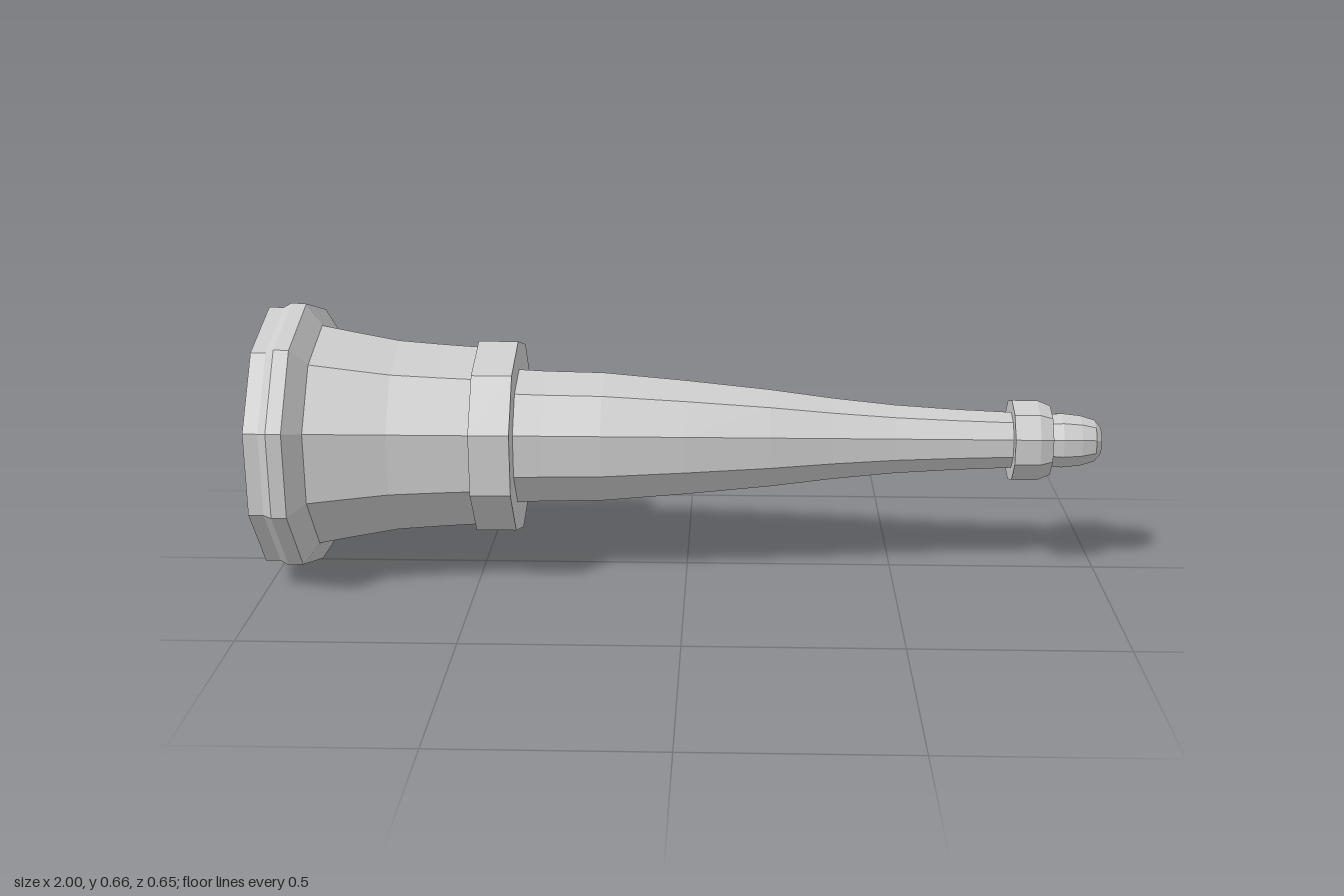
import * as THREE from 'three';

const SIDES = 10;
const material = new THREE.MeshStandardMaterial({ color: 0xcccccc, flatShading: true });

// Ten-sided turned part along x; profile is [x, radius] from the base to the tip.
function turned(name, profile) {
  const points = profile.map(([x, r]) => new THREE.Vector2(r, x));
  const geometry = new THREE.LatheGeometry(points, SIDES, Math.PI / 2);
  geometry.rotateZ(-Math.PI / 2);
  geometry.scale(1, 1, 1.035);
  const mesh = new THREE.Mesh(geometry, material);
  mesh.name = name;
  return mesh;
}

export function createModel() {
  const group = new THREE.Group();
  group.name = 'nozzle';
  const axis = new THREE.Group();
  axis.name = 'nozzleBody';
  axis.position.y = 0.33;
  group.add(axis);

  axis.add(
    // wide coupling rim with a raised band and chamfered front edge
    turned('baseRim', [[-1, 0], [-1, 0.317], [-0.965, 0.317], [-0.945, 0.328],
      [-0.91, 0.326], [-0.875, 0.274], [-0.875, 0.2]]),
    // flared section narrowing towards the collar
    turned('flare', [[-0.88, 0.274], [-0.8, 0.258], [-0.69, 0.237], [-0.58, 0.228], [-0.49, 0.222]]),
    // plain collar
    turned('collar', [[-0.5, 0], [-0.5, 0.237], [-0.405, 0.237], [-0.405, 0]]),
    // long tapering barrel
    turned('barrel', [[-0.42, 0.168], [-0.34, 0.164], [-0.2, 0.161], [0, 0.143], [0.2, 0.122],
      [0.35, 0.102], [0.5, 0.086], [0.65, 0.076], [0.8, 0.069]]),
    // small collar near the tip
    turned('tipCollar', [[0.78, 0], [0.78, 0.1], [0.84, 0.1], [0.872, 0.087], [0.872, 0]]),
    // rounded tip
    turned('tip', [[0.86, 0.064], [0.9, 0.068], [0.945, 0.063], [0.98, 0.052], [0.995, 0.035], [1, 0]])
  );
  return group;
}
